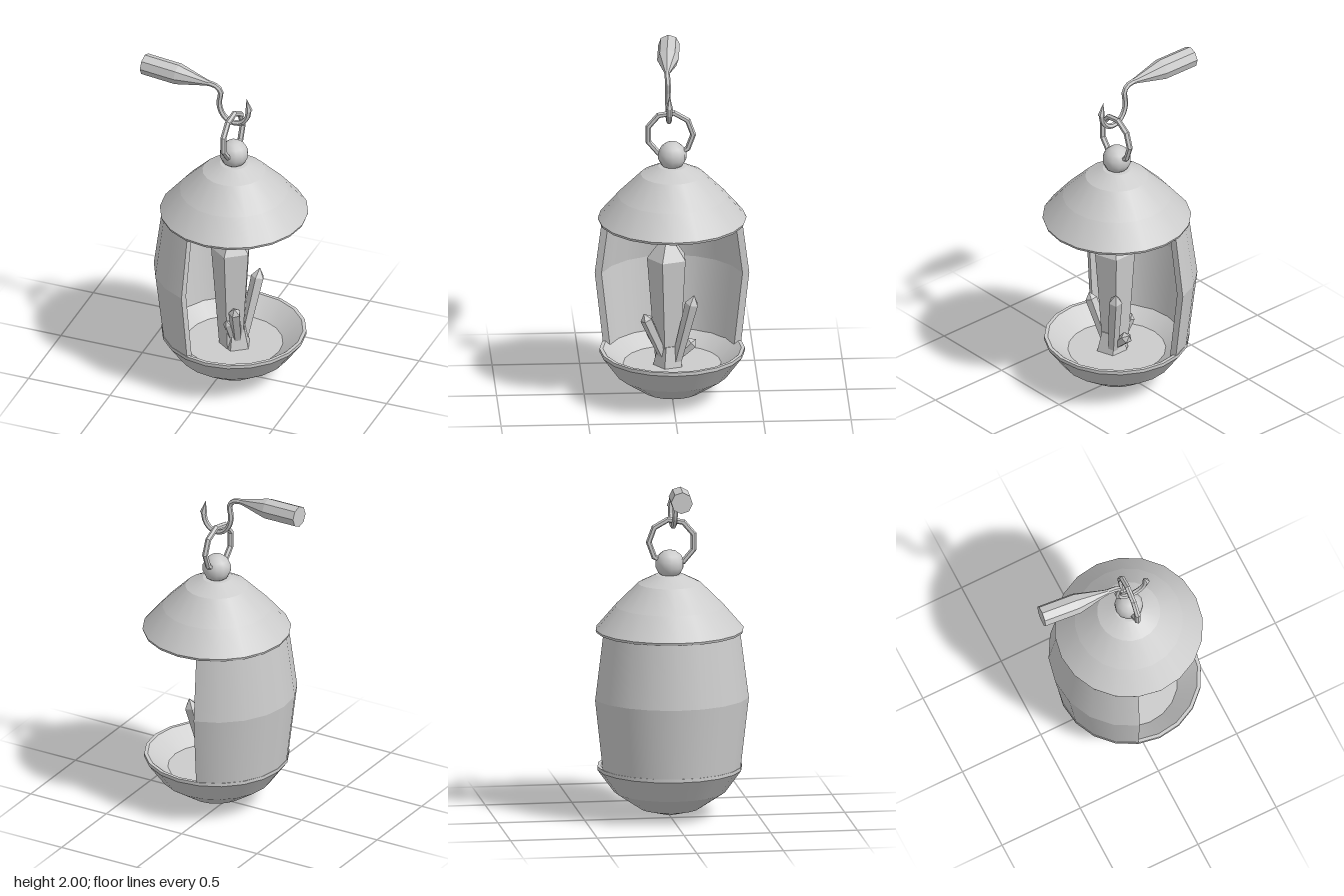
import * as THREE from 'three';
import { mergeGeometries } from 'three/addons/utils/BufferGeometryUtils.js';

const CX = 0.063; // lantern axis
const smooth = new THREE.MeshStandardMaterial({ color: 0xcccccc, side: THREE.DoubleSide });
const faceted = new THREE.MeshStandardMaterial({ color: 0xcccccc, flatShading: true });
const rad = THREE.MathUtils.degToRad;
const v2 = (list) => list.map(([r, y]) => new THREE.Vector2(r, y));
const v3 = (a) => new THREE.Vector3(...a);

// Lathe made band by band: round horizontally, hard edge between bands
function bandedLathe(profile, segments, start = 0, length = Math.PI * 2) {
  const pts = v2(profile), bands = [];
  for (let i = 0; i < pts.length - 1; i++) {
    bands.push(new THREE.LatheGeometry([pts[i], pts[i + 1]], segments, start, length));
  }
  return mergeGeometries(bands);
}

// Faceted turned part whose profile runs from one point to another (heights 0..1)
function spindle(name, from, to, profile, sides) {
  const a = v3(from), dir = v3(to).sub(a), len = dir.length();
  const geo = new THREE.LatheGeometry(v2(profile.map(([r, t]) => [r, t * len])), sides);
  const mesh = new THREE.Mesh(geo, faceted);
  mesh.name = name;
  mesh.position.copy(a);
  mesh.quaternion.setFromUnitVectors(new THREE.Vector3(0, 1, 0), dir.normalize());
  return mesh;
}

const crystal = (name, from, to, rBase, rShoulder, shoulder) =>
  spindle(name, from, to, [[0, 0], [rBase, 0], [rShoulder, shoulder], [0, 1]], 5);

export function createModel() {
  const model = new THREE.Group();
  const add = (name, geo, mat, x = 0, y = 0, z = 0, parent = model) => {
    const mesh = new THREE.Mesh(geo, mat);
    mesh.name = name;
    mesh.position.set(x, y, z);
    parent.add(mesh);
    return mesh;
  };
  const turn = rad(-1.4); // aligns the facets of dome, bowl and wall

  // Bowl with inner floor
  add('bowl', bandedLathe([
    [0, 0.005], [0.17, 0.05], [0.32, 0.15], [0.415, 0.28], [0.415, 0.3],
    [0.395, 0.3], [0.28, 0.21], [0, 0.21],
  ], 20, turn), smooth, CX);

  // Hollow domed roof
  add('roof', bandedLathe([
    [0.395, 1.08], [0.42, 1.08], [0.425, 1.095], [0.31, 1.23], [0.18, 1.36], [0.08, 1.41], [0, 1.415],
    [0, 1.36], [0.16, 1.32], [0.285, 1.2], [0.395, 1.08],
  ], 20, turn), smooth, CX);

  // Curved wall on one side, with closed ends
  const section = [[0.41, 0.28], [0.46, 0.71], [0.41, 1.09], [0.37, 1.09], [0.42, 0.71], [0.37, 0.28]];
  const start = rad(-166), sweep = rad(147);
  const wall = new THREE.Group();
  wall.name = 'wall';
  wall.position.x = CX;
  model.add(wall);
  add('wallShell', bandedLathe([...section, section[0]], 8, start, sweep), smooth, 0, 0, 0, wall);
  for (const phi of [start, start + sweep]) {
    const end = add('wallEnd', new THREE.ShapeGeometry(new THREE.Shape(v2(section))), smooth, 0, 0, 0, wall);
    end.rotation.y = phi - Math.PI / 2;
  }

  // Finial ball and hanging ring
  add('finialBall', new THREE.SphereGeometry(0.083, 12, 7), smooth, CX, 1.472, 0);
  const ring = add('hangingRing', new THREE.TorusGeometry(0.132, 0.017, 6, 9), faceted, 0.06, 1.6, 0.012);
  ring.rotation.set(0, Math.PI / 2 - 0.07, 0);

  // Hook with pointed tip
  const path = new THREE.CatmullRomCurve3([
    [-0.12, 1.922, 0.02], [-0.04, 1.912, 0.022], [-0.012, 1.88, 0.02], [-0.02, 1.8, 0.02],
    [0.0, 1.735, 0.02], [0.045, 1.695, 0.02], [0.105, 1.695, 0.02], [0.148, 1.735, 0.02], [0.163, 1.8, 0.02],
  ].map(v3));
  add('hook', new THREE.TubeGeometry(path, 20, 0.016, 6), faceted);
  model.add(spindle('hookTip', [0.163, 1.79, 0.02], [0.148, 1.867, 0.02], [[0, 0], [0.021, 0], [0, 1]], 6));

  // Handle, tapering into the hook
  model.add(spindle('handle', [-0.49, 1.94, -0.01], [-0.08, 1.92, 0.022],
    [[0, 0], [0.062, 0], [0.062, 0.52], [0.019, 0.95], [0.016, 1]], 8));

  // Crystal cluster
  const cluster = new THREE.Group();
  cluster.name = 'crystalCluster';
  cluster.add(
    crystal('mainCrystal', [0.06, 0.21, 0.02], [0.06, 1.01, 0.025], 0.075, 0.12, 0.8),
    crystal('tallSideCrystal', [0.11, 0.22, -0.02], [0.175, 0.66, -0.12], 0.03, 0.04, 0.88),
    crystal('midSideCrystal', [0.1, 0.24, 0.04], [0.13, 0.535, 0.165], 0.028, 0.036, 0.88),
    crystal('smallSideCrystal', [0.08, 0.24, 0.05], [0.07, 0.43, 0.14], 0.018, 0.024, 0.85),
    crystal('backSideCrystal', [0.04, 0.24, 0.0], [-0.025, 0.42, -0.03], 0.022, 0.028, 0.85),
    crystal('lowSideCrystal', [0.09, 0.25, -0.02], [0.085, 0.36, -0.135], 0.025, 0.035, 0.8),
  );
  add('baseRock', new THREE.CylinderGeometry(0.06, 0.09, 0.12, 5), faceted, 0.085, 0.27, 0.02, cluster);
  model.add(cluster);

  return model;
}
